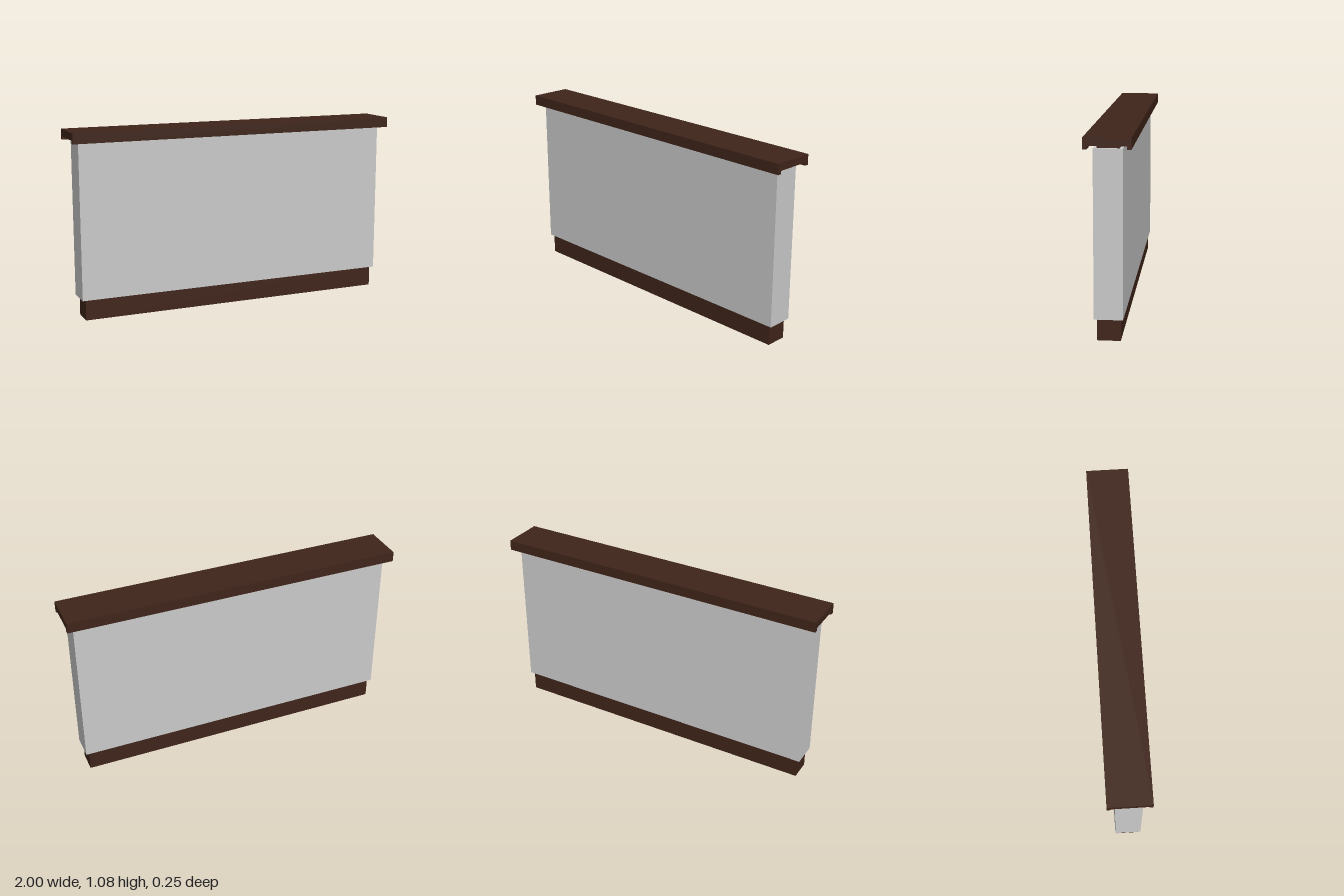
import * as THREE from 'three';

const grey = new THREE.MeshStandardMaterial({ color: 0xcccccc });
const wood = new THREE.MeshStandardMaterial({ color: 0x40251a });

// Box spanning y0..y1, centred on x and z
function slab(name, width, depth, y0, y1, material) {
  const mesh = new THREE.Mesh(new THREE.BoxGeometry(width, y1 - y0, depth), material);
  mesh.name = name;
  mesh.position.y = (y0 + y1) / 2;
  return mesh;
}

export function createModel() {
  const model = new THREE.Group();
  model.name = 'counterWall';

  // Recessed wooden plinth with an unfinished grey underside (-y face)
  model.add(slab('plinth', 1.876, 0.126, 0, 0.12, [wood, wood, wood, grey, wood, wood]));

  // Main panel
  model.add(slab('panel', 1.916, 0.153, 0.12, 1.021, grey));

  // Narrow spacer between panel and cap
  model.add(slab('spacer', 1.876, 0.118, 1.021, 1.041, wood));

  // Cap: channel section with a lip hanging along each long edge
  const w = 0.123, lip = 0.101, top = 1.083, under = 1.041, low = 1.023;
  const section = new THREE.Shape([
    [-w, low], [-lip, low], [-lip, under], [lip, under],
    [lip, low], [w, low], [w, top], [-w, top],
  ].map(([x, y]) => new THREE.Vector2(x, y)));
  const capGeometry = new THREE.ExtrudeGeometry(section, { depth: 2, bevelEnabled: false });
  capGeometry.translate(0, 0, -1).rotateY(Math.PI / 2);
  const cap = new THREE.Mesh(capGeometry, wood);
  cap.name = 'cap';
  model.add(cap);

  return model;
}
